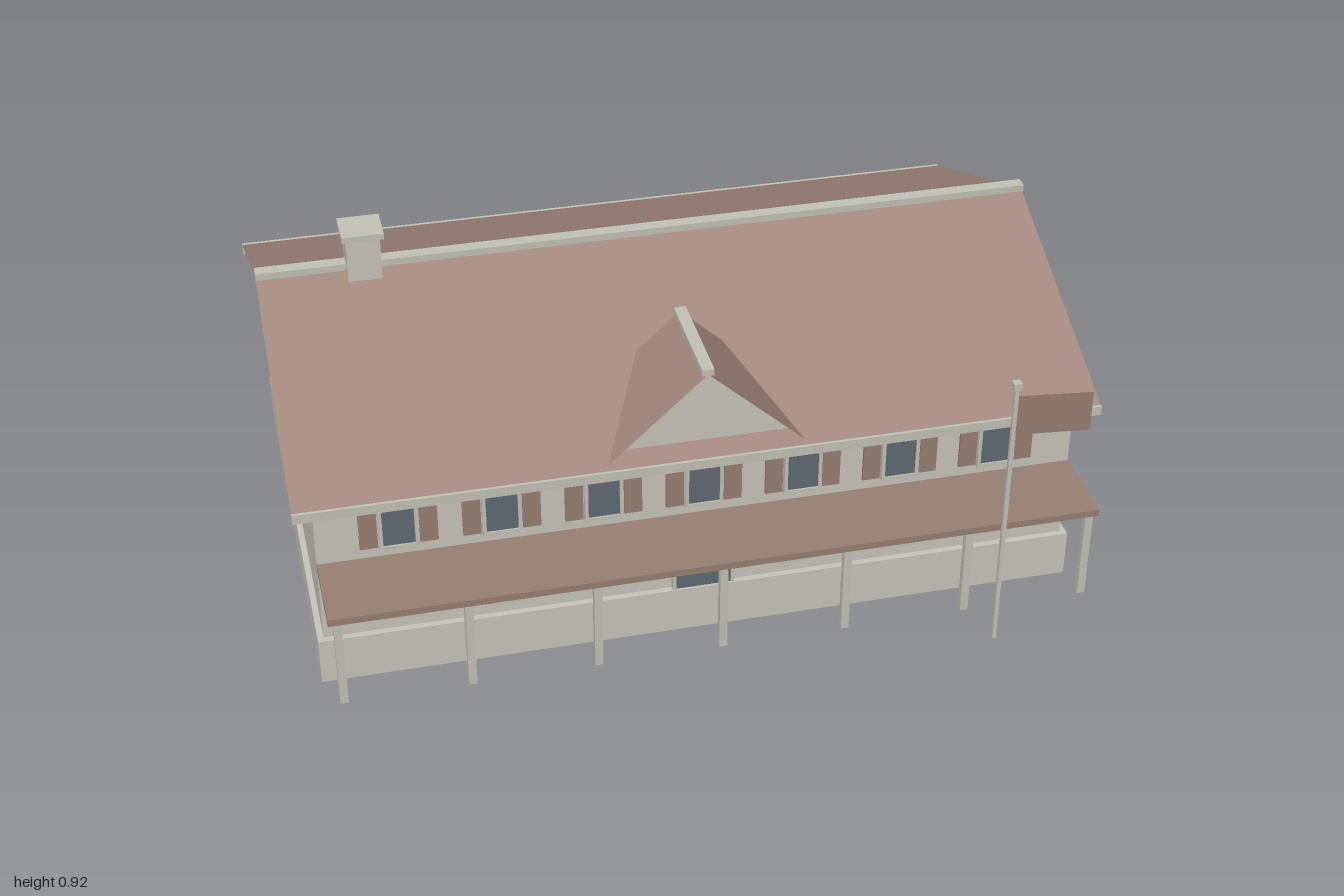
import * as THREE from 'three';

const mat = (name, color, side = THREE.FrontSide) => {
  const m = new THREE.MeshStandardMaterial({ color, side });
  m.name = name;
  return m;
};

export function createModel() {
  const model = new THREE.Group();
  model.name = 'porchHouse';

  const wall = mat('wall plaster', 0xc8c4bb, THREE.DoubleSide);
  const trim = mat('pale trim', 0xc2c2b6);
  const roof = mat('roof brown', 0xa0857a, THREE.DoubleSide);
  const wood = mat('wood brown', 0x987f72, THREE.DoubleSide);
  const glass = mat('window glass', 0x5f6a73);

  const add = (name, geometry, material, parent = model) => {
    const mesh = new THREE.Mesh(geometry, material);
    mesh.name = name;
    parent.add(mesh);
    return mesh;
  };
  // Box given by its two extremes on each axis
  const box = (name, material, [x0, x1], [y0, y1], [z0, z1], parent) => {
    const g = new THREE.BoxGeometry(x1 - x0, y1 - y0, z1 - z0);
    g.translate((x0 + x1) / 2, (y0 + y1) / 2, (z0 + z1) / 2);
    return add(name, g, material, parent);
  };
  // Flat four-cornered sheet
  const sheet = (name, material, corners, parent) => {
    const g = new THREE.BufferGeometry();
    g.setAttribute('position', new THREE.Float32BufferAttribute(corners.flat(), 3));
    g.setIndex([0, 1, 2, 0, 2, 3]);
    g.computeVertexNormals();
    return add(name, g, material, parent);
  };
  const prism = (points, depth) => new THREE.ExtrudeGeometry(
    new THREE.Shape(points.map(([x, y]) => new THREE.Vector2(x, y))),
    { depth, bevelEnabled: false });

  const ridgeZ = -0.14, ridgeY = 0.812, eaveY = 0.543;

  // Foundation: hollow box, open underneath
  const base = box('foundation', wall, [-0.965, 0.965], [0, 0.125], [-0.74, 0.46]);
  const index = Array.from(base.geometry.index.array);
  index.splice(18, 6);
  base.geometry.clearGroups();
  base.geometry.setIndex(index);

  // Walls with both gables
  const body = prism([[-0.72, 0.126], [0.445, 0.126], [0.445, 0.556], [ridgeZ, 0.802], [-0.72, 0.556]], 1.9);
  body.translate(0, 0, -0.95).rotateY(-Math.PI / 2);
  add('walls', body, wall);

  // Main roof slopes, gutters and ridge cap
  sheet('frontRoof', roof, [[-1, eaveY, 0.495], [1, eaveY, 0.495], [1, ridgeY, ridgeZ], [-1, ridgeY, ridgeZ]]);
  sheet('backRoof', roof, [[1, eaveY, -0.775], [-1, eaveY, -0.775], [-1, ridgeY, ridgeZ], [1, ridgeY, ridgeZ]]);
  box('frontGutter', trim, [-1, 1], [0.518, 0.543], [0.486, 0.503]);
  box('backGutter', trim, [-1, 1], [0.518, 0.543], [-0.784, -0.767]);
  box('ridgeCap', trim, [-1, 1], [0.812, 0.83], [-0.156, -0.122]);

  // Chimney
  const chimney = new THREE.Group();
  chimney.name = 'chimney';
  model.add(chimney);
  box('chimneyStack', wall, [-0.775, -0.69], [0.74, 0.908], [-0.18, -0.096], chimney);
  box('chimneyCap', trim, [-0.785, -0.68], [0.908, 0.924], [-0.19, -0.088], chimney);

  // Dormer
  const dormer = new THREE.Group();
  dormer.name = 'dormer';
  model.add(dormer);
  const gable = prism([[-0.236, 0.545], [0.236, 0.545], [0, 0.764]], 0.25);
  gable.translate(0, 0, 0.196);
  add('dormerGable', gable, wall, dormer);
  for (const s of [-1, 1]) {
    const corners = [[0, 0.772, 0.48], [s * 0.25, 0.543, 0.48], [s * 0.25, 0.543, 0.19], [0, 0.772, 0.19]];
    sheet('dormerRoof', roof, s > 0 ? corners : corners.reverse(), dormer);
    box('dormerEave', trim, [s * 0.25 - 0.008, s * 0.25 + 0.008], [0.518, 0.54], [0.19, 0.48], dormer);
  }
  box('dormerRidge', trim, [-0.015, 0.015], [0.768, 0.785], [0.19, 0.48], dormer);

  // Porch roof on seven posts
  box('porchRoof', wood, [-0.95, 0.95], [0.331, 0.349], [0.44, 0.663]);
  for (let i = -3; i <= 3; i++) {
    const x = i * 0.309;
    box('porchPost', trim, [x - 0.01, x + 0.01], [0.092, 0.331], [0.641, 0.659]);
  }

  // Framed pane: four bars around recessed glass
  const framed = (name, x, y0, y1) => {
    const g = new THREE.Group();
    g.name = name;
    model.add(g);
    const w = 0.048, t = 0.009, z = [0.44, 0.458];
    box('glass', glass, [x - w + t, x + w - t], [y0 + t, y1 - t], [0.446, 0.454], g);
    for (const s of [-1, 1]) {
      const a = x + s * w, b = x + s * (w - t);
      box('frameSide', trim, [Math.min(a, b), Math.max(a, b)], [y0, y1], z, g);
    }
    box('frameTop', trim, [x - w + t, x + w - t], [y1 - t, y1], z, g);
    box('frameSill', trim, [x - w + t, x + w - t], [y0, y0 + t], z, g);
  };

  // Windows; upper ones have shutters
  for (let i = -3; i <= 3; i++) {
    const x = i * 0.25;
    framed('upperWindow', x, 0.374, 0.508);
    for (const s of [-1, 1]) {
      const c = x + s * 0.073;
      box('shutter', wood, [c - 0.022, c + 0.022], [0.38, 0.502], [0.444, 0.453]);
    }
    if (i) framed('lowerWindow', x, 0.16, 0.311);
  }

  // Entrance: tall door between two side lights
  const door = new THREE.Group();
  door.name = 'entrance';
  model.add(door);
  box('doorPanel', glass, [-0.04, 0.04], [0.125, 0.303], [0.446, 0.454], door);
  box('doorLintel', trim, [-0.05, 0.05], [0.303, 0.313], [0.44, 0.458], door);
  for (const s of [-1, 1]) {
    const span = (a, b) => (s > 0 ? [a, b] : [-b, -a]);
    box('doorJamb', trim, span(0.04, 0.047), [0.285, 0.303], [0.44, 0.458], door);
    box('sideLight', glass, span(0.04, 0.07), [0.125, 0.283], [0.446, 0.454], door);
    box('sideLightLintel', trim, span(0.04, 0.079), [0.283, 0.292], [0.44, 0.458], door);
    box('sideLightJamb', trim, span(0.07, 0.079), [0.125, 0.283], [0.44, 0.458], door);
  }

  // Flagpole and flag
  const px = 0.655, pz = 0.775;
  const pole = new THREE.Group();
  pole.name = 'flagpole';
  model.add(pole);
  box('pole', trim, [px - 0.005, px + 0.005], [0.092, 0.826], [pz - 0.005, pz + 0.005], pole);
  box('poleCap', trim, [px - 0.01, px + 0.01], [0.824, 0.842], [pz - 0.01, pz + 0.01], pole);
  sheet('flag', wood, [[px, 0.695, pz], [0.847, 0.68, pz], [0.847, 0.786, pz], [px, 0.803, pz]], pole);

  return model;
}
